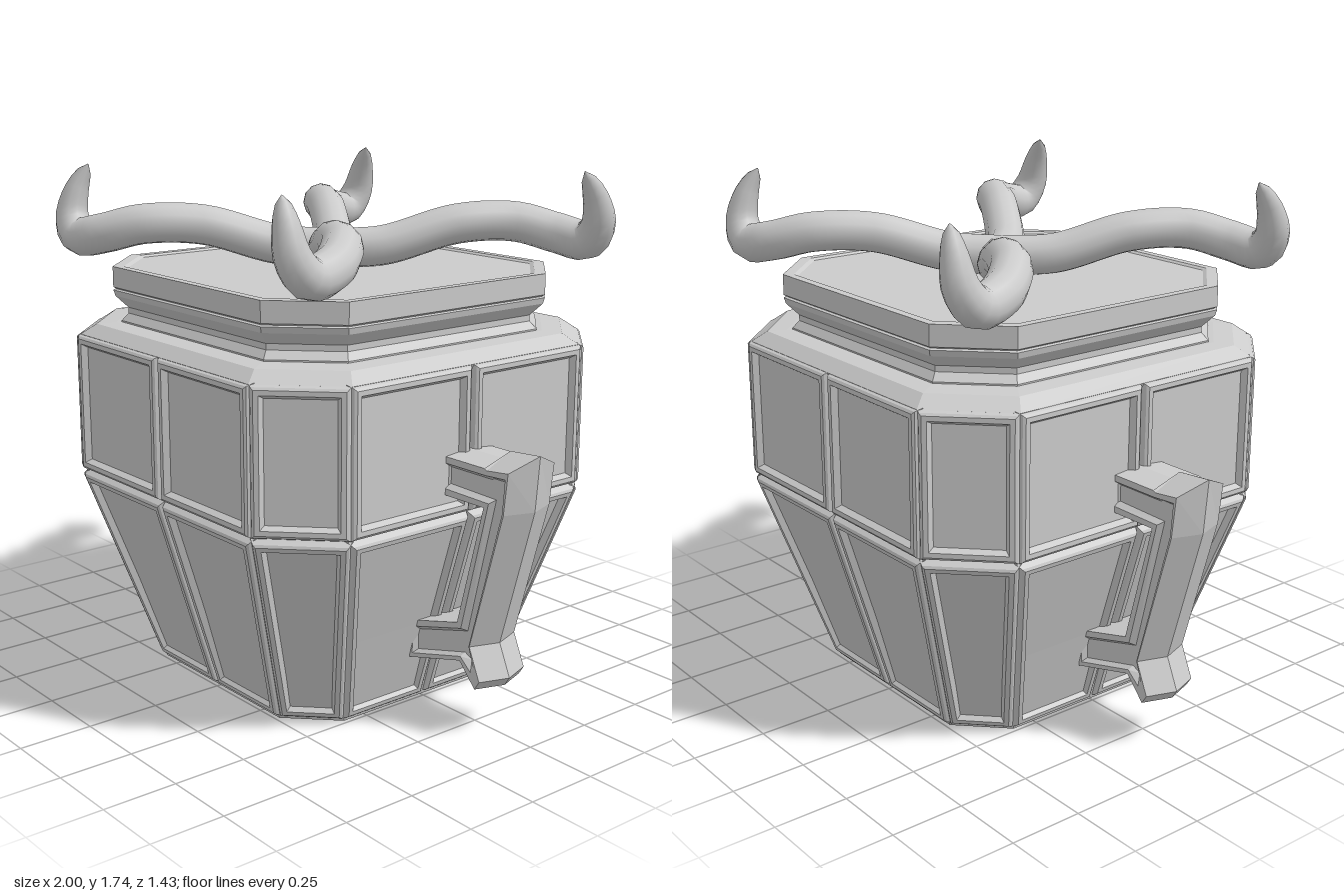
import * as THREE from 'three';

const V3 = THREE.Vector3;
const V2 = THREE.Vector2;
const flat = new THREE.MeshStandardMaterial({ color: 0xcccccc, flatShading: true });
const smooth = new THREE.MeshStandardMaterial({ color: 0xcccccc, side: THREE.DoubleSide });

// Skin a list of equal-length rings; caps are flat outlines given in 2D
function loft(rings, cap2D, capStart = true) {
  const n = rings[0].length, idx = [];
  for (let r = 0; r < rings.length - 1; r++) {
    for (let i = 0; i < n; i++) {
      const a = r * n + i, b = r * n + (i + 1) % n;
      idx.push(a, b, b + n, a, b + n, a + n);
    }
  }
  const last = (rings.length - 1) * n;
  const cap = ring => THREE.ShapeUtils.triangulateShape(ring.map(cap2D), []);
  for (const [a, b, c] of cap(rings[rings.length - 1])) idx.push(last + a, last + b, last + c);
  if (capStart) for (const [a, b, c] of cap(rings[0])) idx.push(c, b, a);
  const g = new THREE.BufferGeometry().setFromPoints(rings.flat());
  g.setIndex(idx);
  g.computeVertexNormals();
  return g;
}

function add(parent, name, geometry, material = flat) {
  const m = new THREE.Mesh(geometry, material);
  m.name = name;
  parent.add(m);
  return m;
}

// Square with cut corners, half width h, at height y
function octagon(h, y) {
  const c = h * 0.69;
  return [[-c, h], [c, h], [h, c], [h, -c], [c, -h], [-c, -h], [-h, -c], [-h, c]]
    .map(([x, z]) => new V3(x, y, z));
}
const stack = levels => loft(levels.map(([h, y]) => octagon(h, y)), p => new V2(p.x, -p.z));

// Move the sides of a convex counter-clockwise outline inwards by d
function inset(pts, d) {
  const n = pts.length;
  const normal = i => {
    const e = pts[(i + 1) % n].clone().sub(pts[i]).normalize();
    return new V2(-e.y, e.x);
  };
  return pts.map((p, i) => {
    const n1 = normal((i + n - 1) % n), n2 = normal(i);
    return p.clone().add(n1.clone().add(n2).multiplyScalar(d / (1 + n1.dot(n2))));
  });
}

// Framed, recessed panel on the quad a, b, c, d (counter-clockwise from outside)
const frame = [[0, -0.03], [0.01, -0.006], [0.018, 0], [0.034, 0], [0.046, -0.02]];
function panel(a, b, c, d) {
  const ex = b.clone().sub(a).normalize();
  const ez = ex.clone().cross(d.clone().sub(a)).normalize();
  const ey = ez.clone().cross(ex);
  const outline = [a, b, c, d].map(p => {
    const q = p.clone().sub(a);
    return new V2(q.dot(ex), q.dot(ey));
  });
  const rings = frame.map(([w, z]) => inset(outline, w).map(p => new V3(p.x, p.y, z)));
  return loft(rings, p => new V2(p.x, p.y), false)
    .applyMatrix4(new THREE.Matrix4().makeBasis(ex, ey, ez).setPosition(a));
}

// One tier of panels: two on each wide side, one on each corner
function panelTier(name, h0, y0, h1, y1) {
  const tier = new THREE.Group();
  tier.name = name;
  const lo = octagon(h0, y0), hi = octagon(h1, y1);
  for (let i = 0; i < 8; i++) {
    const j = (i + 1) % 8, parts = i % 2 ? 1 : 2;
    for (let k = 0; k < parts; k++) {
      const at = (ring, t) => ring[i].clone().lerp(ring[j], t);
      const t0 = k / parts, t1 = (k + 1) / parts;
      add(tier, parts === 1 ? 'cornerPanel' : 'sidePanel',
        panel(at(lo, t0), at(lo, t1), at(hi, t1), at(hi, t0)));
    }
  }
  return tier;
}

// Angular handle with a ridged outer edge and sunken cheeks
function handleGeometry() {
  const outline = [[0.54, 0.18], [0.775, 0.245], [0.88, 0.17], [0.9, 0.2], [0.853, 0.305],
    [0.985, 0.77], [1, 0.95], [0.875, 0.94], [0.865, 0.91], [0.66, 0.91],
    [0.66, 0.775], [0.865, 0.775], [0.76, 0.37], [0.54, 0.31]];
  const cheek = [[0.56, 0.21], [0.78, 0.27], [0.812, 0.255], [0.82, 0.265], [0.812, 0.305],
    [0.94, 0.775], [0.945, 0.87], [0.89, 0.87], [0.88, 0.865], [0.7, 0.865],
    [0.7, 0.81], [0.9, 0.805], [0.79, 0.345], [0.56, 0.28]];
  const rim = outline.map(([x, y], i) => [
    i >= 2 && i <= 6 ? x - 0.035 : x,
    i === 6 || i === 7 ? y - 0.045 : i === 8 || i === 9 ? y - 0.01 : y,
  ]);
  const lip = rim.map(([x, y], i) => [x + (cheek[i][0] - x) * 0.6, y + (cheek[i][1] - y) * 0.6]);
  const rings = [[cheek, -0.08], [lip, -0.1], [rim, -0.1], [outline, 0], [rim, 0.1], [lip, 0.1], [cheek, 0.08]]
    .map(([pts, z]) => pts.map(([x, y]) => new V3(x, y, z)));
  return loft(rings, p => new V2(p.x, p.y));
}

// Wavy arm that tapers into an upturned tip
function armGeometry() {
  const path = new THREE.CatmullRomCurve3([
    [0, 1.465, 0], [0.12, 1.475, -0.13], [0.26, 1.545, -0.34], [0.37, 1.55, -0.51],
    [0.48, 1.515, -0.6], [0.59, 1.5, -0.63], [0.64, 1.56, -0.625],
    [0.645, 1.65, -0.6], [0.63, 1.735, -0.56],
  ].map(p => new V3(...p)));
  const steps = 40, sides = 12, radius = 0.068;
  const g = new THREE.TubeGeometry(path, steps, radius, sides, false);
  const pos = g.attributes.position, p = new V3();
  for (let i = 0; i <= steps; i++) {
    const t = i / steps, centre = path.getPointAt(t);
    const s = t < 0.72 ? 1 : Math.max(0.02, Math.sqrt(1 - ((t - 0.72) / 0.28) ** 1.5));
    for (let j = 0; j <= sides; j++) {
      const k = i * (sides + 1) + j;
      p.fromBufferAttribute(pos, k).sub(centre).multiplyScalar(s).add(centre);
      pos.setXYZ(k, p.x, p.y, p.z);
    }
  }
  return g;
}

export function createModel() {
  const model = new THREE.Group();
  model.name = 'jar';

  // Body with two tiers of panels
  add(model, 'bodyCore', stack([[0.485, 0], [0.685, 0.695], [0.685, 1.18]]));
  model.add(panelTier('lowerPanels', 0.5, 0.004, 0.715, 0.695));
  model.add(panelTier('upperPanels', 0.715, 0.7, 0.715, 1.185));

  // Shoulder, neck and lid
  add(model, 'shoulder', stack([[0.69, 1.15], [0.7, 1.18], [0.655, 1.215], [0.6, 1.22]]));
  add(model, 'neck', stack([[0.585, 1.2], [0.585, 1.225], [0.565, 1.25], [0.565, 1.27], [0.6, 1.31],
    [0.605, 1.33], [0.59, 1.335]]));
  add(model, 'lid', stack([[0.59, 1.33], [0.605, 1.34], [0.605, 1.41], [0.575, 1.41], [0.565, 1.403]]));

  // Handles on both sides
  const handle = handleGeometry();
  add(model, 'leftHandle', handle);
  add(model, 'rightHandle', handle).rotation.y = Math.PI;

  // Four curling arms crossing over the lid
  const arm = armGeometry();
  for (let i = 0; i < 4; i++) add(model, 'lidArm', arm, smooth).rotation.y = i * Math.PI / 2;
  add(model, 'lidArmHub', new THREE.SphereGeometry(0.085, 16, 12), smooth).position.y = 1.465;
  model.getObjectByName('lidArmHub').scale.y = 0.8;

  return model;
}
